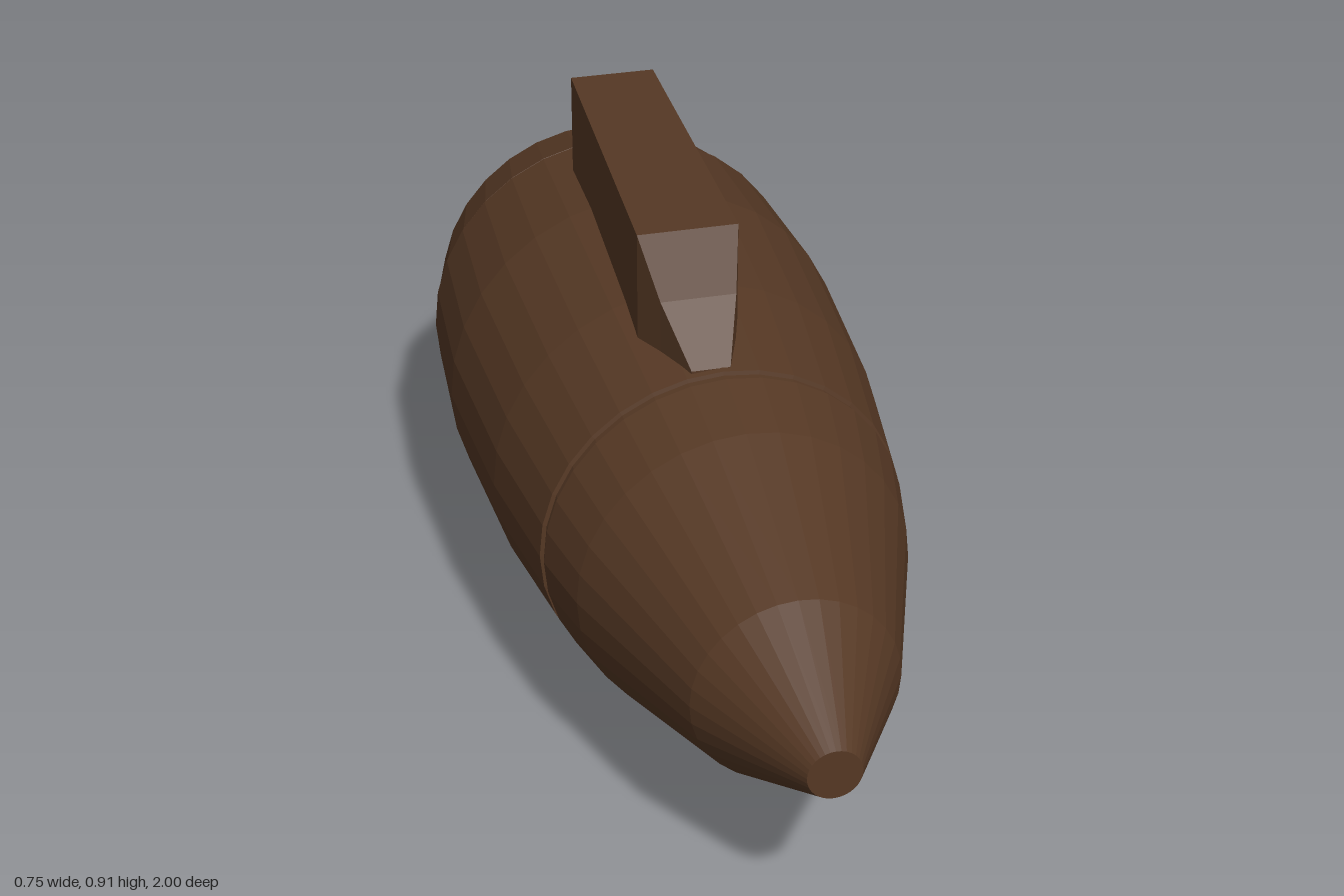
import * as THREE from 'three';

const AXIS_Y = 0.376; // height of the hull's centre line

export function createModel() {
  const model = new THREE.Group();
  model.name = 'submarine';
  const brown = new THREE.MeshStandardMaterial({ color: 0x553824, flatShading: true });
  brown.name = 'dark brown';

  const add = (name, geometry) => {
    const mesh = new THREE.Mesh(geometry, brown);
    mesh.name = name;
    model.add(mesh);
    return mesh;
  };

  // Hull sections: [radius, z] profiles from back to front, turned about the z axis
  const hullPart = (name, profile) => {
    const points = profile.map(([r, z]) => new THREE.Vector2(r, z));
    add(name, new THREE.LatheGeometry(points, 32).rotateX(Math.PI / 2)).position.y = AXIS_Y;
  };
  hullPart('tailCone', [
    [0, -1], [0.022, -1], [0.225, -0.8], [0.315, -0.67], [0.352, -0.53], [0.346, -0.525],
  ]);
  hullPart('midHull', [
    [0.346, -0.525], [0.356, -0.521], [0.373, -0.25], [0.354, 0.07],
    [0.32, 0.31], [0.313, 0.312],
  ]);
  hullPart('noseCone', [
    [0.313, 0.312], [0.313, 0.328], [0.317, 0.33], [0.288, 0.46], [0.175, 0.78], [0.045, 1], [0, 1],
  ]);

  // Tower: upright-walled sections from front to back, [z, right x, left x, top y]
  const sections = [
    [0.3, -0.052, 0.015, 0.697],
    [0.22, -0.086, 0.045, 0.79],
    [0.165, -0.113, 0.062, 0.892],
    [-0.43, -0.098, 0.056, 0.91],
    [-0.5, -0.077, 0.04, 0.83],
    [-0.527, -0.05, 0.02, 0.73],
  ];
  const floor = 0.62; // buried inside the hull
  const positions = [];
  const index = [];
  sections.forEach(([z, x0, x1, top], i) => {
    positions.push(x0, floor, z, x1, floor, z, x1, top, z, x0, top, z);
    if (i === 0) return;
    const a = (i - 1) * 4;
    const b = i * 4;
    for (let k = 0; k < 4; k++) {
      const n = (k + 1) % 4;
      index.push(a + k, b + k, b + n, a + k, b + n, a + n);
    }
  });
  const last = (sections.length - 1) * 4;
  index.push(0, 1, 2, 0, 2, 3, last, last + 2, last + 1, last, last + 3, last + 2);
  const tower = new THREE.BufferGeometry();
  tower.setAttribute('position', new THREE.Float32BufferAttribute(positions, 3));
  tower.setIndex(index);
  const flatTower = tower.toNonIndexed();
  flatTower.computeVertexNormals();
  add('conningTower', flatTower);

  return model;
}
